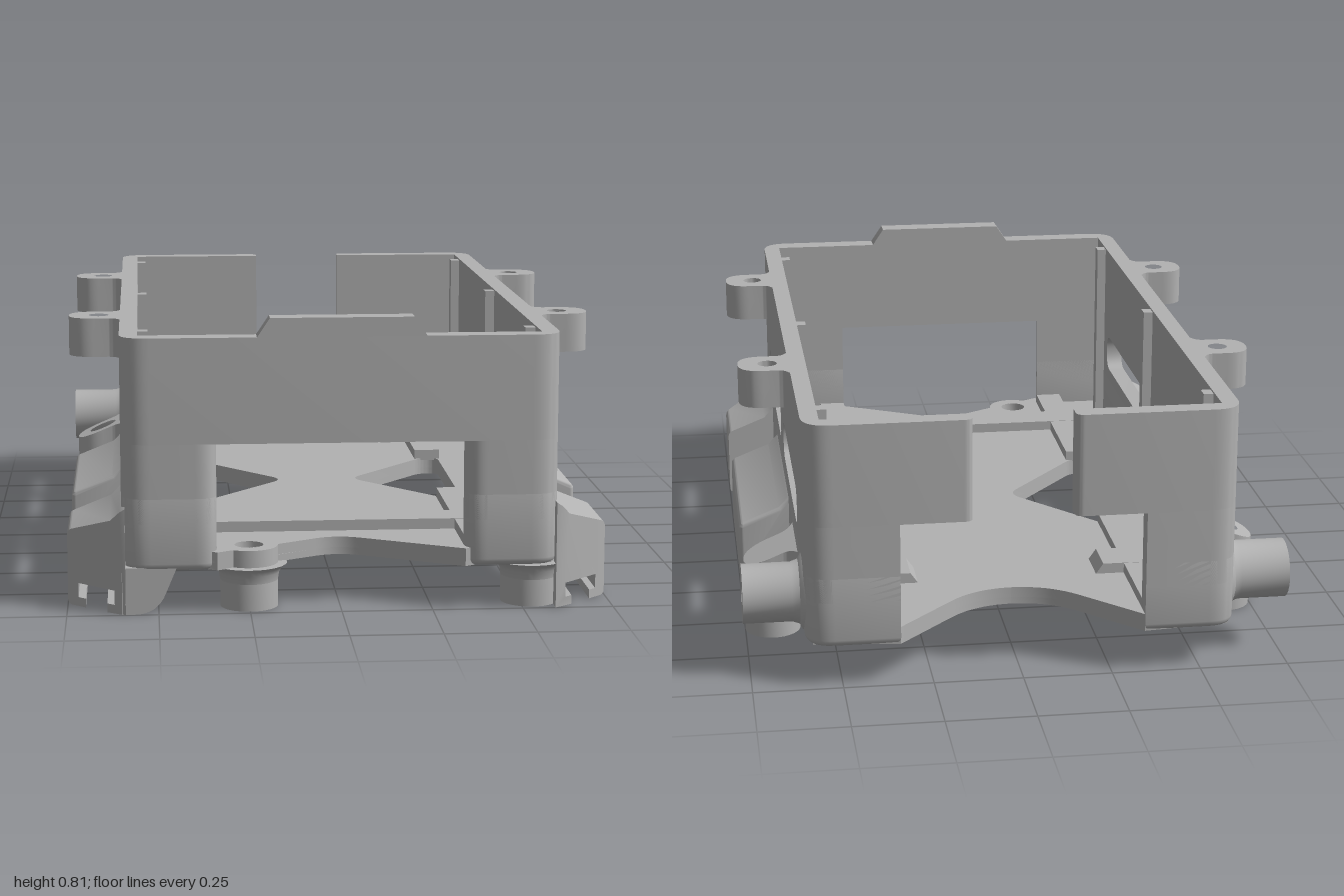
import * as THREE from 'three';
import { toCreasedNormals } from 'three/addons/utils/BufferGeometryUtils.js';

// Path through [x, y, cornerRadius] points
function trace(path, pts) {
  const n = pts.length;
  pts.forEach((p, i) => {
    const r = p[2] || 0;
    const toward = (q) => {
      const d = Math.hypot(q[0] - p[0], q[1] - p[1]);
      return [p[0] + (q[0] - p[0]) * r / d, p[1] + (q[1] - p[1]) * r / d];
    };
    const a = toward(pts[(i + n - 1) % n]), b = toward(pts[(i + 1) % n]);
    if (i === 0) path.moveTo(...a); else path.lineTo(...a);
    if (r) path.quadraticCurveTo(p[0], p[1], ...b);
  });
  return path;
}
const outline = (pts, holes = []) => {
  const s = trace(new THREE.Shape(), pts);
  s.holes.push(...holes);
  return s;
};
const loop = (pts) => trace(new THREE.Path(), pts);
const circle = (x, y, r) => new THREE.Path().absarc(x, y, r, 0, Math.PI * 2, true);

export function createModel() {
  const group = new THREE.Group();
  const grey = new THREE.MeshStandardMaterial({ color: 0xb2b2b2 });
  grey.name = 'plain grey';

  const add = (name, geo) => {
    const mesh = new THREE.Mesh(toCreasedNormals(geo, 0.65), grey);
    mesh.name = name;
    group.add(mesh);
    return mesh;
  };
  const extrude = (shape, depth, bevel = 0) => {
    const g = new THREE.ExtrudeGeometry(shape, {
      depth: depth - 2 * bevel, curveSegments: 10, bevelEnabled: bevel > 0,
      bevelSize: bevel, bevelThickness: bevel, bevelOffset: -bevel, bevelSegments: 4,
    });
    return g.translate(0, 0, bevel);
  };
  // Plan outline given in x, z and raised from y0 to y1
  const plan = (shape, y0, y1, bevel) =>
    extrude(shape, y1 - y0, bevel).rotateX(Math.PI / 2).translate(0, y1, 0);
  const box = (name, x0, x1, y0, y1, z0, z1) =>
    add(name, new THREE.BoxGeometry(x1 - x0, y1 - y0, z1 - z0)
      .translate((x0 + x1) / 2, (y0 + y1) / 2, (z0 + z1) / 2));
  const lathe = (pts) => new THREE.LatheGeometry(pts.map((p) => new THREE.Vector2(...p)), 32);

  // Floor with front and back cutouts, hourglass windows and screw holes
  const frontEdge = [[0.58, 0.97], [0.38, 0.97], [0.34, 0.995], [0, 0.81, 0.07], [-0.34, 0.995], [-0.38, 0.97], [-0.58, 0.97]];
  const backEdge = [[-0.58, -0.97], [-0.34, -0.995], [-0.105, -0.75, 0.11], [0.105, -0.75, 0.11], [0.34, -0.995], [0.58, -0.97]];
  const windows = () => [-1, 1].map((s) => loop([
    [s * 0.415, -0.275, 0.03], [s * 0.355, -0.275, 0.03], [s * 0.105, 0.025, 0.05],
    [s * 0.355, 0.325, 0.03], [s * 0.415, 0.325, 0.03]]));
  const screwHoles = () => [circle(-0.25, 0.905, 0.04), circle(0.53, 0.905, 0.04)];
  add('floor', plan(outline([...frontEdge, ...backEdge], [...windows(), ...screwHoles()]), 0.14, 0.17));

  // Underside layer, leaving two strap grooves across it
  add('floorUndersideFront', plan(outline([...frontEdge, [-0.58, 0.75], [0.58, 0.75]], screwHoles()), 0.12, 0.14));
  add('floorUndersideMiddle', plan(outline([[-0.58, -0.56], [0.58, -0.56], [0.58, 0.64], [-0.58, 0.64]], windows()), 0.12, 0.14));
  add('floorUndersideBack', plan(outline([...backEdge, [0.58, -0.68], [-0.58, -0.68]]), 0.12, 0.14));

  // Raised ribs on the floor
  box('frontCrossRib', -0.55, 0.55, 0.165, 0.2, 0.64, 0.75);
  for (const s of [-1, 1]) {
    const x = s * 0.38;
    box('longRibBack', x - 0.04, x + 0.04, 0.165, 0.199, -0.95, -0.27);
    box('longRibFront', x - 0.04, x + 0.04, 0.165, 0.199, 0.32, 0.94);
    add('backCrossRib', extrude(outline([[s * 0.55, 0.165], [s * 0.255, 0.165], [s * 0.28, 0.2], [s * 0.55, 0.2]]), 0.12)
      .translate(0, 0, -0.68));
  }

  // Front wall above the opening, and the raised tab on it
  add('frontWall', plan(outline([
    [-0.6, 0.9], [-0.6, 1, 0.08], [0.6, 1, 0.08], [0.6, 0.9],
    [0.55, 0.9], [0.55, 0.94], [-0.55, 0.94], [-0.55, 0.9]]), 0.47, 0.76));
  add('frontTab', extrude(outline([[-0.23, 0.75], [0.23, 0.75], [0.23, 0.76], [0.195, 0.812], [-0.195, 0.812], [-0.23, 0.76]]), 0.06)
    .translate(0, 0, 0.94));

  for (const s of [-1, 1]) {
    const jamb = [[s * 0.6, 1, 0.08], [s * 0.4, 1], [s * 0.34, 1, 0.055], [s * 0.34, 0.94], [s * 0.55, 0.94]];
    const backWall = (x, r = 0) => [[s * 0.55, -0.945], [s * x, -0.945], [s * x, -1, r], [s * 0.6, -1, 0.08]];

    // Wall base with a rounded lower rim
    add('wallBase', plan(outline([...jamb, ...backWall(0.34)]), 0.12, 0.34, 0.02));
    add('frontJamb', plan(outline([...jamb, [s * 0.55, 0.9], [s * 0.6, 0.9]]), 0.25, 0.47));
    add('backJamb', plan(outline([[s * 0.6, -0.9], [s * 0.55, -0.9], ...backWall(0.34)]), 0.25, 0.47));
    add('backLip', plan(outline([[s * 0.6, -0.9], [s * 0.55, -0.9], ...backWall(0.14, 0.025)]), 0.47, 0.76));

    // Side wall with two long slots
    const slot = (a, b) => loop([[a, 0.36, 0.054], [b, 0.36, 0.054], [b, 0.47, 0.054], [a, 0.47, 0.054]]);
    add('sideWall', extrude(outline([[-0.92, 0.25], [0.92, 0.25], [0.92, 0.76], [-0.92, 0.76]],
      [slot(-0.74, -0.09), slot(0.04, 0.69)]), 0.05)
      .rotateY(Math.PI / 2).translate(s > 0 ? 0.55 : -0.6, 0, 0));

    // Guide ribs inside the wall
    for (const z of [-0.825, 0.015, 0.81]) {
      const x = s * 0.537;
      box('guideRib', x - 0.015, x + 0.015, 0.16, 0.755, z - 0.02, z + 0.02);
    }

    // Screw ears at the top edge
    for (const z of [-0.41, 0.525]) {
      add('screwEar', plan(outline([
        [s * 0.57, z - 0.1], [s * 0.6, z - 0.1], [s * 0.615, z - 0.072, 0.02], [s * 0.745, z - 0.072, 0.07],
        [s * 0.745, z + 0.072, 0.07], [s * 0.615, z + 0.072, 0.02], [s * 0.6, z + 0.1], [s * 0.57, z + 0.1]],
      [circle(s * 0.66, z, 0.028)]), 0.65, 0.76));
    }

    // Side pin with a small blind hole
    add('sidePin', lathe([[0.12, 0.58], [0.105, 0.602], [0.09, 0.61], [0.083, 0.63], [0.083, 0.767],
      [0.025, 0.767], [0.025, 0.66], [0, 0.66]])
      .rotateZ(-s * Math.PI / 2).translate(0, 0.23, -0.845));

    // Side pods with a T-shaped channel underneath
    const podOuter = outline([
      [s * 0.59, 0.295], [s * 0.605, 0.285], [s * 0.63, 0.258], [s * 0.75, 0.21, 0.015], [s * 0.75, 0, 0.015],
      [s * 0.7, 0], [s * 0.7, 0.025], [s * 0.72, 0.025], [s * 0.72, 0.065], [s * 0.62, 0.065],
      [s * 0.62, 0.025], [s * 0.64, 0.025], [s * 0.64, 0], [s * 0.59, 0]]);
    const podInner = outline([[s * 0.6, 0.13], [s * 0.45, 0.13], [s * 0.505, 0, 0.06], [s * 0.6, 0]]);
    const midBack = s > 0 ? -0.25 : -0.21;
    add('middlePod', extrude(podOuter, 0.365 - midBack, 0.012).translate(0, 0, midBack));
    add('middlePodInner', extrude(podInner, 0.34 - midBack).translate(0, 0, midBack + 0.012));

    const corner = extrude(podOuter, 0.37).translate(0, 0, 0.63);
    const pos = corner.attributes.position;
    for (let i = 0; i < pos.count; i++) {
      if (pos.getZ(i) > 0.9) pos.setZ(i, 1 - Math.max(0, Math.abs(pos.getX(i)) - 0.6) * 0.93);
    }
    add('frontPod', corner);
    add('frontPodInner', extrude(podInner, s > 0 ? 0.21 : 0.36).translate(0, 0, 0.635));

    // Rear post: sloped shoulder on a round leg; only the right one is drilled
    const z = s > 0 ? -0.547 : -0.52;
    const drilled = s < 0;
    const shoulder = plan(outline([
      [s * 0.58, z - 0.12], [s * 0.6, z - 0.12], [s * 0.62, z - 0.08, 0.025], [s * 0.75, z - 0.08, 0.08],
      [s * 0.75, z + 0.08, 0.08], [s * 0.62, z + 0.08, 0.025], [s * 0.6, z + 0.12], [s * 0.58, z + 0.12]],
    drilled ? [circle(s * 0.67, z, 0.042)] : []), 0.12, 0.28);
    const sp = shoulder.attributes.position;
    for (let i = 0; i < sp.count; i++) {
      if (sp.getY(i) > 0.2) sp.setY(i, 0.285 - (Math.abs(sp.getX(i)) - 0.58) * 0.42);
    }
    add('rearPostShoulder', shoulder);
    const bore = drilled ? 0.042 : 0;
    const leg = [[bore, 0], [0.08, 0], [0.08, 0.13], [bore, 0.13]];
    add('rearPostLeg', lathe(drilled ? [...leg, [bore, 0]] : leg).translate(s * 0.67, 0, z));
  }

  // Screw bosses under the front edge
  for (const x of [-0.25, 0.53]) {
    add('frontBoss', lathe([[0.04, 0], [0.08, 0], [0.08, 0.17], [0.04, 0.17], [0.04, 0]]).translate(x, 0, 0.905));
    add('frontBossFillet', lathe([[0.08, 0.075], [0.084, 0.097], [0.092, 0.111], [0.105, 0.121], [0.08, 0.122]])
      .translate(x, 0, 0.905));
  }
  return group;
}
